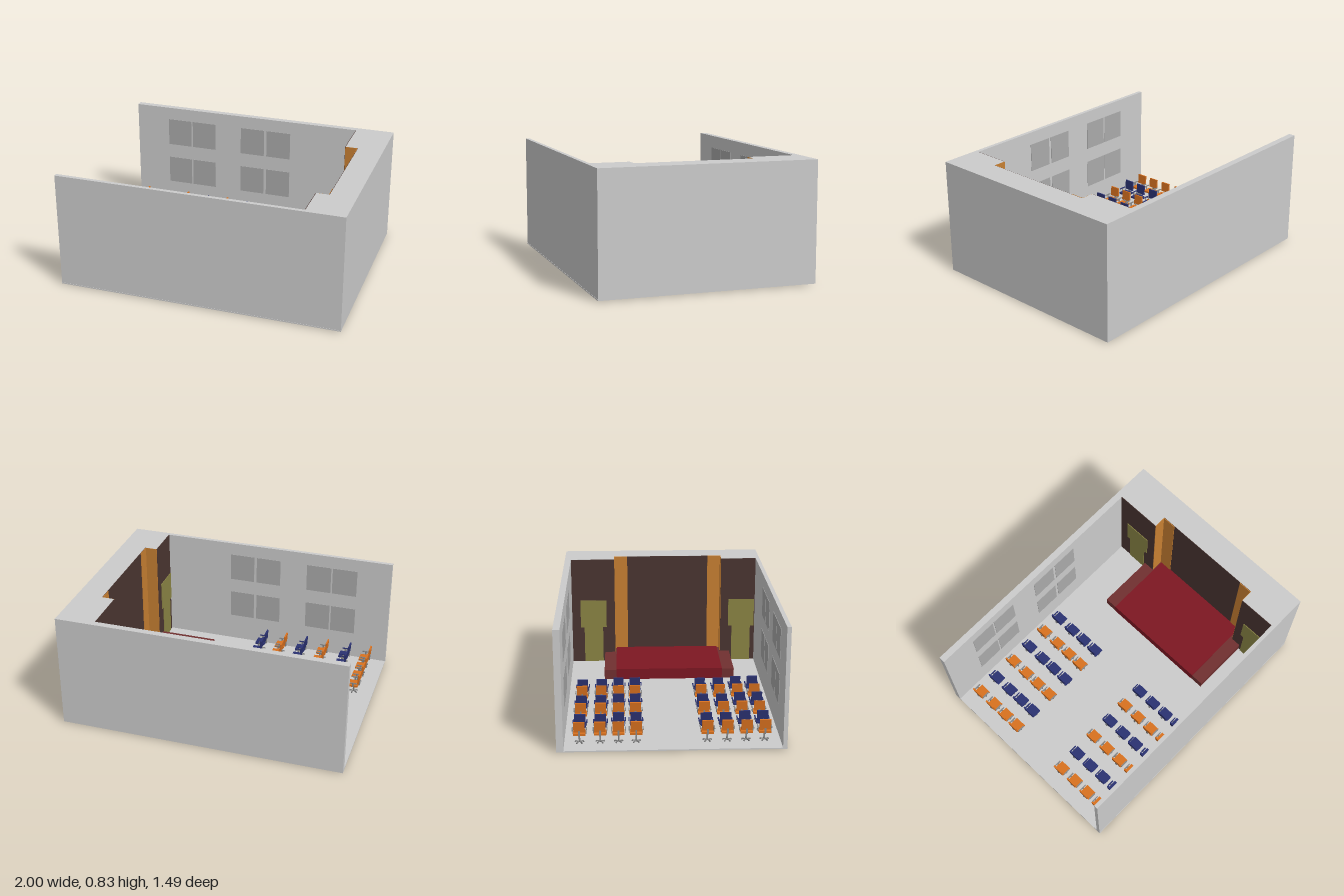
import * as THREE from 'three';

const mat = (color) => new THREE.MeshStandardMaterial({ color });
const M = {
  grey: mat(0xcccccc), pane: mat(0xaaaaaa), brown: mat(0x4a3531), amber: mat(0xc77f32),
  olive: mat(0x8a8444), carpet: mat(0x7d1722), stage: mat(0x703030),
  orange: mat(0xd9711f), blue: mat(0x2b3272), metal: mat(0x888888),
};
const H = 0.83;

// Box given by its min and max corners
function box(name, m, [x0, y0, z0], [x1, y1, z1]) {
  const mesh = new THREE.Mesh(new THREE.BoxGeometry(x1 - x0, y1 - y0, z1 - z0), m);
  mesh.name = name;
  mesh.position.set((x0 + x1) / 2, (y0 + y1) / 2, (z0 + z1) / 2);
  return mesh;
}

// Swivel chair facing +x
function chair(m) {
  const g = new THREE.Group();
  g.add(box('seat', m, [-0.033, 0.062, -0.04], [0.038, 0.075, 0.04]));
  const back = box('backrest', m, [-0.042, 0.088, -0.037], [-0.031, 0.16, 0.037]);
  back.rotation.z = 0.08;
  g.add(back);
  g.add(box('backSupport', M.metal, [-0.042, 0.06, -0.006], [-0.034, 0.1, 0.006]));
  for (const s of [-1, 1]) {
    const arm = box('armrest', m === M.blue ? m : M.metal, [-0.03, 0.094, -0.004], [0.025, 0.1, 0.004]);
    const post = box('armPost', M.metal, [-0.006, 0.064, -0.002], [0.006, 0.095, 0.002]);
    arm.position.z = s * 0.045;
    post.position.z = s * 0.043;
    g.add(arm, post);
  }
  const stem = new THREE.Mesh(new THREE.CylinderGeometry(0.005, 0.005, 0.06, 10), M.metal);
  stem.name = 'stem';
  stem.position.y = 0.035;
  g.add(stem);
  // Five-legged foot
  for (let i = 0; i < 5; i++) {
    const leg = new THREE.Group();
    leg.name = 'footLeg';
    leg.add(box('footBar', M.metal, [0, 0.007, -0.003], [0.03, 0.013, 0.003]));
    leg.add(box('caster', M.metal, [0.024, 0, -0.004], [0.032, 0.008, 0.004]));
    leg.rotation.y = (i * Math.PI * 2) / 5;
    g.add(leg);
  }
  return g;
}

export function createModel() {
  const root = new THREE.Group();
  root.name = 'lectureHall';

  // Floor and U-shaped walls with a stage niche
  root.add(box('floor', M.grey, [-1, 0.005, -0.745], [1, 0.013, 0.745]));
  const outline = [
    [-1, -0.745], [1, -0.745], [1, 0.743], [-1, 0.743], [-1, 0.715], [0.73, 0.715],
    [0.73, 0.45], [0.82, 0.45], [0.82, -0.37], [0.73, -0.37], [0.73, -0.7], [-1, -0.7],
  ].map(([x, z]) => new THREE.Vector2(x, z));
  const wallGeo = new THREE.ExtrudeGeometry(new THREE.Shape(outline), { depth: H - 0.006, bevelEnabled: false });
  wallGeo.rotateX(Math.PI / 2).translate(0, H, 0);
  const walls = new THREE.Mesh(wallGeo, M.grey);
  walls.name = 'walls';
  root.add(walls);

  // Dark lining of the end wall and niche
  const top = H - 0.001;
  root.add(box('endLining', M.brown, [0.726, 0, -0.7], [0.731, top, -0.37]));
  root.add(box('endLining', M.brown, [0.726, 0, 0.45], [0.731, top, 0.715]));
  root.add(box('nicheLining', M.brown, [0.817, 0.013, -0.37], [0.821, top, 0.45]));

  // Amber panels wrapping the niche corners
  root.add(box('nicheSidePanel', M.amber, [0.728, 0.013, -0.371], [0.82, top, -0.367]));
  root.add(box('nicheSidePanel', M.amber, [0.728, 0.013, 0.447], [0.82, top, 0.451]));
  root.add(box('nicheBackPanel', M.amber, [0.813, 0.013, -0.37], [0.818, top, -0.27]));
  root.add(box('nicheBackPanel', M.amber, [0.813, 0.013, 0.35], [0.818, top, 0.45]));

  // Boards and doors on both sides of the stage
  for (const s of [-1, 1]) {
    const c = s > 0 ? 0.61 : -0.535;
    root.add(box('board', M.olive, [0.721, 0.29, c - 0.1], [0.727, 0.505, c + 0.1]));
    root.add(box('door', M.olive, [0.722, 0.013, c - 0.072], [0.727, 0.29, c + 0.072]));
  }

  // Stage
  root.add(box('stage', M.stage, [0.305, 0.013, -0.45], [0.73, 0.085, 0.52]));
  root.add(box('stageRear', M.stage, [0.73, 0.013, -0.37], [0.82, 0.085, 0.45]));
  root.add(box('stageCarpet', M.carpet, [0.303, 0.013, -0.36], [0.822, 0.093, 0.43]));

  // Window panes inside both long walls
  for (const x of [-0.747, -0.55, -0.16, 0.045]) {
    for (const y of [0.215, 0.53]) {
      root.add(box('windowPane', M.pane, [x, y, -0.701], [x + 0.185, y + 0.207, -0.697]));
      root.add(box('windowPane', M.pane, [x, y, 0.712], [x + 0.185, y + 0.207, 0.716]));
    }
  }

  // Two blocks of chairs in alternating columns
  const columns = [-0.86, -0.703, -0.53, -0.365, -0.205, -0.05];
  const rows = [-0.6, -0.465, -0.345, -0.23, 0.235, 0.365, 0.49, 0.61];
  columns.forEach((x, i) => rows.forEach((z, j) => {
    const blue = i % 2 === 1;
    const c = chair(blue ? M.blue : M.orange);
    c.name = blue ? 'blueChair' : 'orangeChair';
    c.position.set(x, blue && j % 4 < 2 ? 0 : 0.01, z);
    root.add(c);
  }));
  return root;
}
